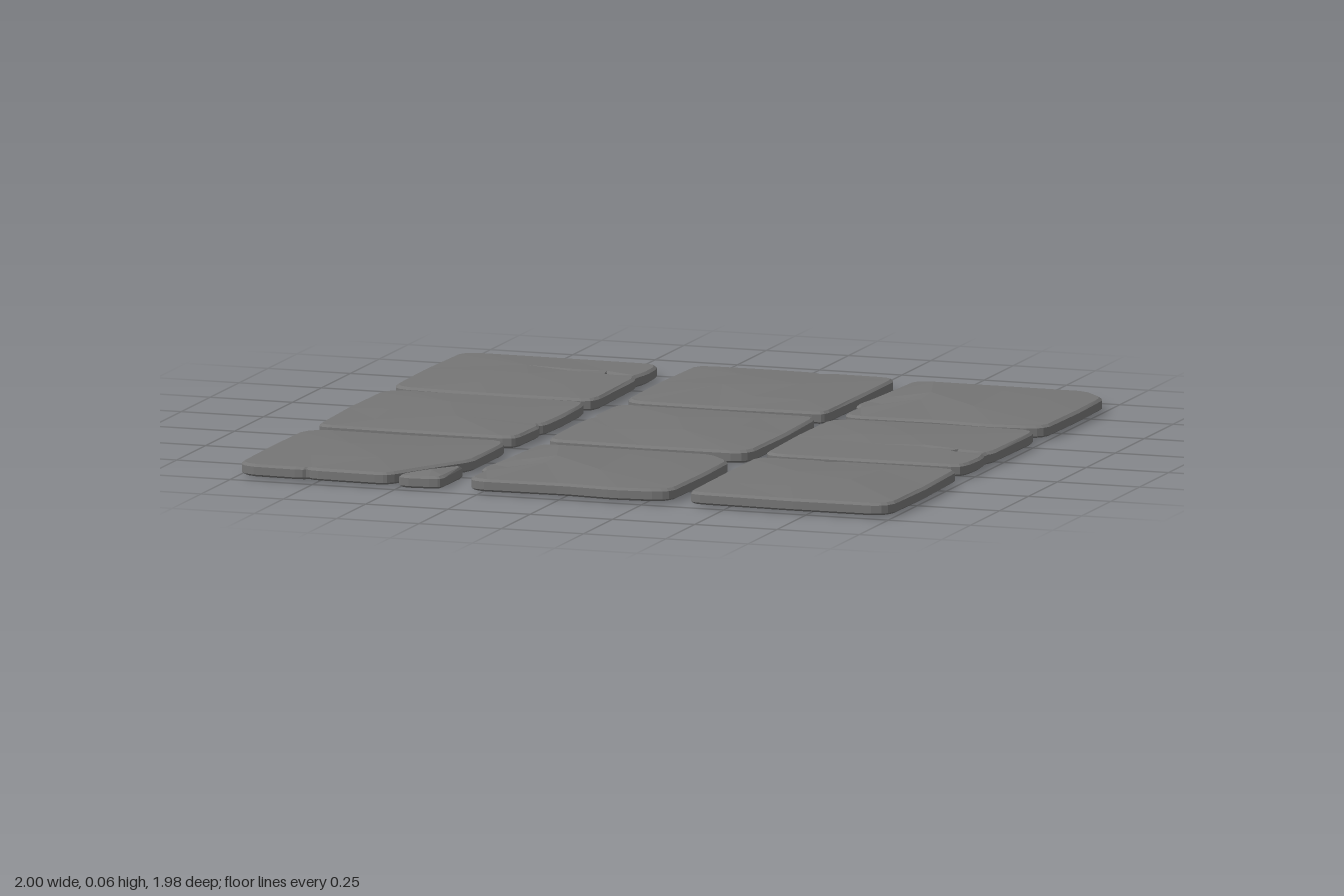
import * as THREE from 'three';

const material = new THREE.MeshStandardMaterial({ color: 0x757575, flatShading: true, side: THREE.DoubleSide });

// Slab templates: outline [x, z] and inner top points [x, z, height]
const plain = {
  outline: [[-.30, -.29], [-.26, -.305], [-.07, -.31], [.065, -.305], [.085, -.285], [.11, -.305], [.28, -.30], [.305, -.28],
    [.305, 0], [.30, .28], [.28, .30], [0, .31], [-.27, .305], [-.305, .27], [-.31, 0]],
  top: [[-.1, .04, .057], [.1, -.05, .055], [.04, .17, .052], [-.12, -.17, .05], [.2, .16, .048]],
};
const cracked = {
  outline: [[-.30, -.285], [-.26, -.305], [0, -.305], [.28, -.30], [.30, -.265], [.305, -.16], [.29, -.09], [.305, -.06],
    [.31, .27], [.29, .305], [-.03, .31], [-.27, .295], [-.305, .26], [-.31, 0]],
  top: [[-.04, -.11, .052], [.1, -.085, .045], [.21, -.1, .038], [.1, -.098, .051], [.2, -.122, .047], [.1, -.07, .051],
    [.21, -.078, .046], [.02, .04, .056], [-.12, .02, .054], [-.08, .18, .05], [.16, .14, .05]],
};
const dented = {
  outline: [[-.29, -.285], [-.255, -.30], [.23, -.295], [.305, -.215], [.31, 0], [.305, .265], [.27, .295], [.14, .31],
    [-.01, .295], [-.265, .305], [-.30, .28], [-.295, .155], [-.32, .125], [-.31, .05], [-.30, -.11]],
  top: [[-.145, -.02, .063], [-.2, .04, .051], [-.255, .09, .041], [-.25, .02, .051], [-.15, .06, .056],
    [.18, -.08, .054], [.03, .11, .055], [.02, -.17, .052]],
};
const broken = {
  outline: [[-.305, -.26], [-.26, -.305], [-.03, -.30], [.28, -.305], [.305, -.26], [.305, .015], [.235, .14], [.155, .295],
    [.13, .305], [-.075, .298], [-.09, .285], [-.11, .30], [-.27, .295], [-.305, .26], [-.31, 0]],
  top: [[-.08, -.04, .056], [.1, -.08, .054], [.06, .12, .052], [-.14, .14, .05]],
};
const shard = {
  outline: [[.305, .085], [.305, .275], [.29, .285], [.20, .295], [.18, .275], [.225, .18]],
  top: [[.26, .23, .045]],
};

// Delaunay triangulation of flat points
function delaunay(points) {
  const n = points.length;
  const p = [...points, [-100, -90], [100, -95], [3, 120]];
  const circle = (a, b, c) => {
    const [ax, ay] = p[a], bx = p[b][0] - ax, by = p[b][1] - ay, cx = p[c][0] - ax, cy = p[c][1] - ay;
    const d = 2 * (bx * cy - by * cx), b2 = bx * bx + by * by, c2 = cx * cx + cy * cy;
    const x = (cy * b2 - by * c2) / d, y = (bx * c2 - cx * b2) / d;
    return { v: [a, b, c], x: x + ax, y: y + ay, r2: x * x + y * y };
  };
  let tris = [circle(n, n + 1, n + 2)];
  for (let i = 0; i < n; i++) {
    const edges = new Map(), keep = [];
    for (const t of tris) {
      if ((p[i][0] - t.x) ** 2 + (p[i][1] - t.y) ** 2 >= t.r2) { keep.push(t); continue; }
      for (let k = 0; k < 3; k++) {
        const a = t.v[k], b = t.v[(k + 1) % 3];
        if (!edges.delete(b + ',' + a)) edges.set(a + ',' + b, [a, b]);
      }
    }
    tris = keep;
    for (const [a, b] of edges.values()) tris.push(circle(a, b, i));
  }
  return tris.map(t => t.v).filter(v => v.every(i => i < n));
}

function inside([x, z], ring) {
  let hit = false;
  ring.forEach(([ax, az], i) => {
    const [bx, bz] = ring[(i + 1) % ring.length];
    if ((az > z) !== (bz > z) && x < ax + (bx - ax) * (z - az) / (bz - az)) hit = !hit;
  });
  return hit;
}

// Worn corners: each outline point becomes two, a short way along its edges
function roundCorners(ring) {
  const n = ring.length;
  const toward = ([ax, az], [bx, bz]) => {
    const t = Math.min(.3, .018 / Math.hypot(bx - ax, bz - az));
    return [ax + (bx - ax) * t, az + (bz - az) * t];
  };
  return ring.flatMap((q, i) => [toward(q, ring[(i + n - 1) % n]), toward(q, ring[(i + 1) % n])]);
}

// Bevelled slab shell: stacked outline rings, capped by a faceted top
function makeSlab(name, template, x, z, { turns = 0, flipX = 1, flipZ = 1, base = 0.006 } = {}) {
  const place = ([px, pz, h]) => {
    let a = px * flipX, b = pz * flipZ;
    for (let i = 0; i < turns; i++) [a, b] = [-b, a];
    return [a, b, h];
  };
  const outline = roundCorners(template.outline.map(place));
  if (flipX * flipZ > 0) outline.reverse(); // counter-clockwise from above
  const n = outline.length;
  const cx = outline.reduce((s, q) => s + q[0], 0) / n, cz = outline.reduce((s, q) => s + q[1], 0) / n;
  const inset = d => outline.map(([a, b]) => {
    const k = 1 - d / Math.hypot(a - cx, b - cz);
    return [cx + (a - cx) * k, cz + (b - cz) * k];
  });

  const positions = [], index = [];
  const layers = [[.004, 0], [-.006, .006], [-.006, .029], [.004, .036]];
  for (const [d, y] of layers) for (const [a, b] of inset(d)) positions.push(a, base + y, b);
  for (let l = 0; l < layers.length - 1; l++) {
    for (let i = 0; i < n; i++) {
      const a = l * n + i, b = l * n + (i + 1) % n;
      index.push(a, b, b + n, a, b + n, a + n);
    }
  }

  const rim = inset(.004), inner = template.top.map(place);
  for (const [a, b, h] of inner) positions.push(a, h, b);
  const points = [...rim, ...inner], offset = (layers.length - 1) * n;
  for (const [a, b, c] of delaunay(points)) {
    const A = points[a], B = points[b], C = points[c];
    if (!inside([(A[0] + B[0] + C[0]) / 3, (A[1] + B[1] + C[1]) / 3], rim)) continue;
    const up = (B[1] - A[1]) * (C[0] - A[0]) - (B[0] - A[0]) * (C[1] - A[1]) > 0;
    index.push(offset + a, offset + (up ? b : c), offset + (up ? c : b));
  }

  const geometry = new THREE.BufferGeometry();
  geometry.setAttribute('position', new THREE.Float32BufferAttribute(positions, 3));
  geometry.setIndex(index);
  const flat = geometry.toNonIndexed();
  flat.computeVertexNormals();
  const mesh = new THREE.Mesh(flat, material);
  mesh.name = name;
  mesh.position.set(x, 0, z);
  return mesh;
}

export function createModel() {
  const group = new THREE.Group();
  group.name = 'stonePaving';
  group.add(
    // Back row
    makeSlab('backRightSlab', cracked, -.685, -.665),
    makeSlab('backMiddleSlab', plain, .02, -.68),
    makeSlab('backLeftSlab', dented, .685, -.66),
    // Middle row
    makeSlab('middleRightSlab', plain, -.685, -.015, { turns: 1 }),
    makeSlab('centreSlab', plain, .02, -.005, { turns: 3 }),
    makeSlab('middleLeftSlab', cracked, .68, 0, { flipZ: -1 }),
    // Front row, with a corner broken off
    makeSlab('frontRightSlab', broken, -.685, .665),
    makeSlab('brokenCorner', shard, -.685, .665, { base: 0 }),
    makeSlab('frontMiddleSlab', dented, .015, .67),
    makeSlab('frontLeftSlab', plain, .685, .67, { flipX: -1 }),
  );
  return group;
}
